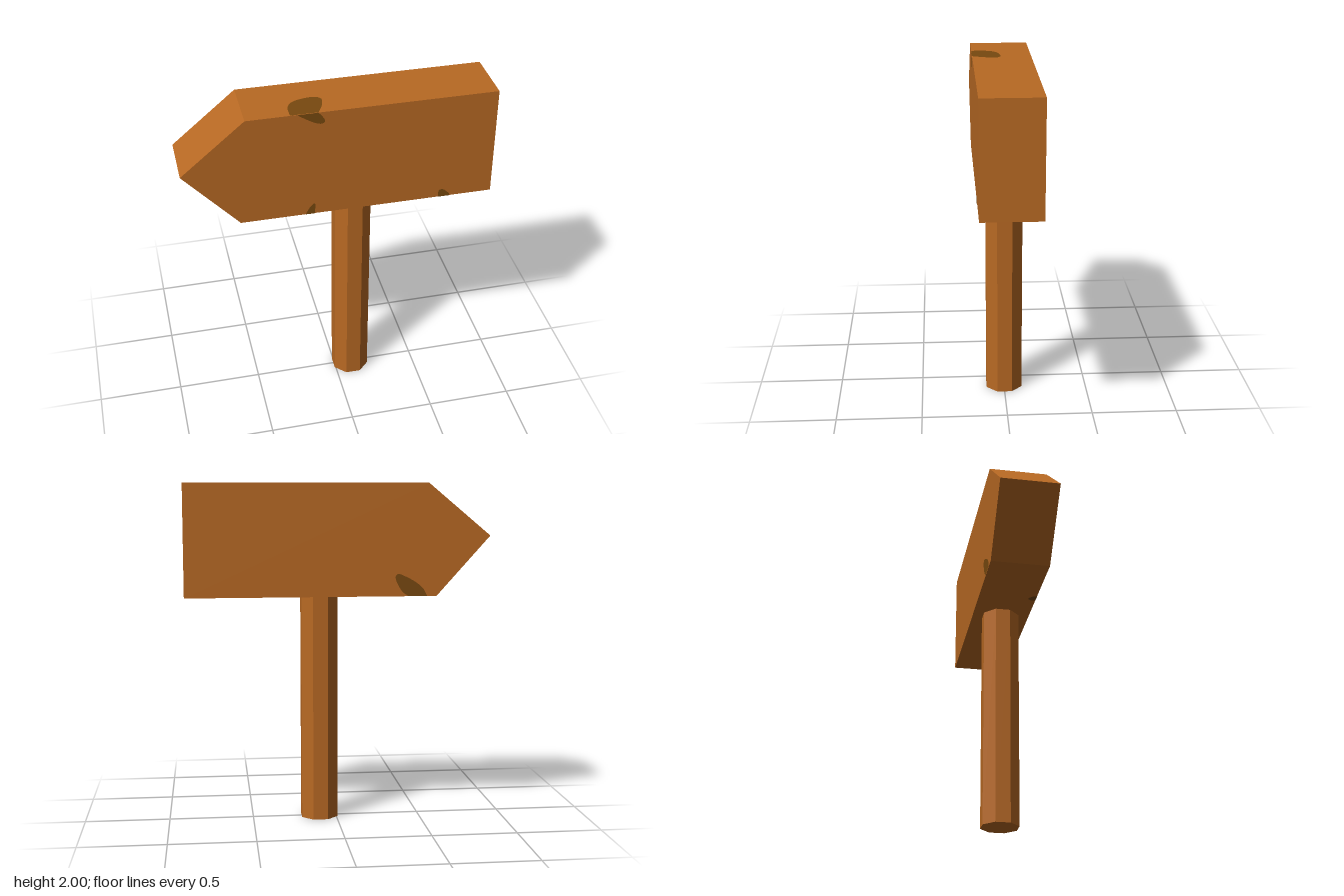
import * as THREE from 'three';

const BOTTOM = 1.345, TOP = 2, HALF = 0.171, LIFT = 0.002;

// Patch outline: a smooth curve whose ends are joined by the straight board edge
function patchShape(points) {
  const [first, ...rest] = points.map(([x, y]) => new THREE.Vector2(x, y));
  const shape = new THREE.Shape().moveTo(first.x, first.y);
  shape.splineThru(rest);
  shape.closePath();
  return new THREE.ShapeGeometry(shape, 4);
}

export function createModel() {
  const group = new THREE.Group();
  const wood = new THREE.MeshStandardMaterial({ color: 0xb86923, flatShading: true });
  wood.name = 'wood';
  const stain = new THREE.MeshStandardMaterial({ color: 0x78490f });
  stain.name = 'darkStain';

  const add = (name, geometry, material) => {
    const mesh = new THREE.Mesh(geometry, material);
    mesh.name = name;
    group.add(mesh);
    return mesh;
  };

  // Octagonal post with a flat side to the front
  const post = add('post', new THREE.CylinderGeometry(0.1155, 0.1155, BOTTOM, 8), wood);
  post.geometry.rotateY(Math.PI / 8);
  post.position.set(0.1, BOTTOM / 2, 0);

  // Pointed board
  const outline = [[0.89, BOTTOM], [0.89, TOP], [-0.525, TOP], [-0.89, 1.695], [-0.575, BOTTOM]];
  const board = new THREE.Shape(outline.map(([x, y]) => new THREE.Vector2(x, y)));
  add('arrowBoard', new THREE.ExtrudeGeometry(board, { depth: HALF * 2, bevelEnabled: false })
    .translate(0, 0, -HALF), wood);

  // Stains on the front
  const frontStains = {
    frontTopStain: [[-0.24, TOP], [-0.21, 1.978], [-0.15, 1.942], [-0.11, 1.93], [-0.09, 1.942], [-0.1, 1.968], [-0.125, TOP]],
    frontLowerStain: [[-0.205, BOTTOM], [-0.19, 1.375], [-0.17, 1.403], [-0.155, 1.414], [-0.149, 1.4], [-0.153, BOTTOM]],
    frontCornerStain: [[0.575, BOTTOM], [0.575, 1.385], [0.592, 1.395], [0.612, 1.386], [0.638, 1.36], [0.642, BOTTOM]],
  };
  for (const [name, points] of Object.entries(frontStains)) {
    add(name, patchShape(points).translate(0, 0, HALF + LIFT), stain);
  }

  // Stain on the back, drawn mirrored and turned around
  const backPoints = [[0.41, BOTTOM], [0.375, 1.37], [0.348, 1.41], [0.332, 1.455], [0.345, 1.474],
    [0.375, 1.468], [0.448, 1.43], [0.495, 1.39], [0.52, BOTTOM]];
  add('backStain', patchShape(backPoints).rotateY(Math.PI).translate(0, 0, -HALF - LIFT), stain);

  // Stain on the top (shape y is -z)
  const topPoints = [[-0.28, -HALF], [-0.278, -0.09], [-0.25, -0.04], [-0.2, -0.015], [-0.13, -0.005],
    [-0.09, -0.02], [-0.08, -0.05], [-0.095, -0.11], [-0.125, -HALF]];
  add('topStain', patchShape(topPoints).rotateX(-Math.PI / 2).translate(0, TOP + LIFT, 0), stain);

  // Small stain on the underside (shape y is z)
  const underPoints = [[-0.205, HALF], [-0.2, 0.145], [-0.175, 0.125], [-0.155, 0.14], [-0.153, HALF]];
  add('undersideStain', patchShape(underPoints).rotateX(Math.PI / 2).translate(0, BOTTOM - LIFT, 0), stain);

  return group;
}
